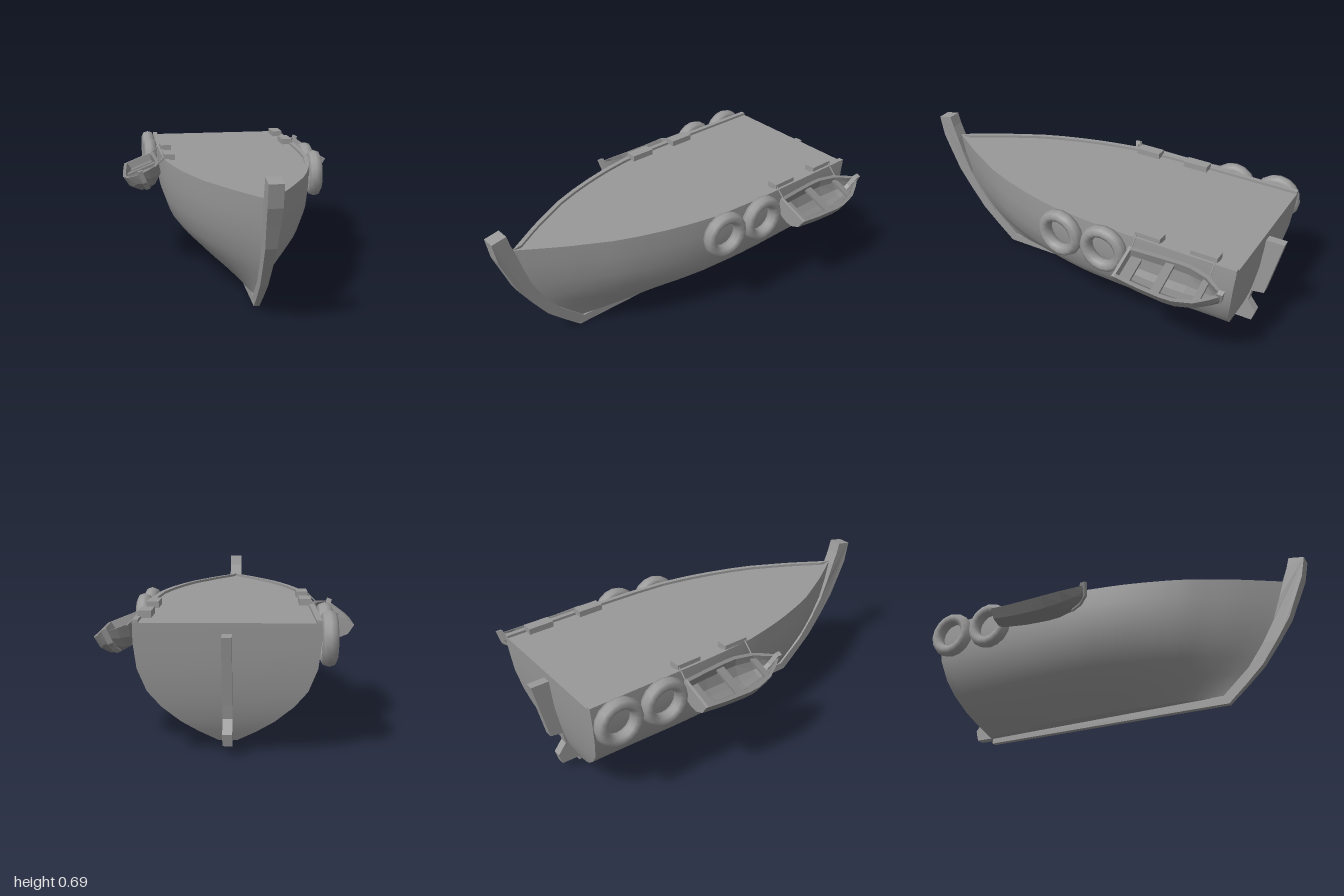
import * as THREE from 'three';

const makeMaterial = (color, flatShading) => new THREE.MeshStandardMaterial({ color, flatShading, side: THREE.DoubleSide });
const mat = makeMaterial(0x999999, false);
const flatMat = makeMaterial(0x999999, true);
const shellMat = makeMaterial(0x858585, true);

function add(parent, name, geometry, material = mat) {
  const mesh = new THREE.Mesh(geometry, material);
  mesh.name = name;
  parent.add(mesh);
  return mesh;
}

// Piecewise linear lookup in [[key, value], ...]
function lookup(table, k) {
  for (let i = 1; i < table.length; i++) {
    const [k0, v0] = table[i - 1], [k1, v1] = table[i];
    if (k <= k1) return v0 + (v1 - v0) * Math.max(0, (k - k0) / (k1 - k0));
  }
  return table[table.length - 1][1];
}

// Skin over rows of [x, y, z] points
function loft(rows) {
  const n = rows[0].length, index = [];
  for (let i = 0; i < rows.length - 1; i++)
    for (let j = 0; j < n - 1; j++) {
      const a = i * n + j, b = a + n;
      index.push(a, b, a + 1, b, b + 1, a + 1);
    }
  const g = new THREE.BufferGeometry();
  g.setAttribute('position', new THREE.Float32BufferAttribute(rows.flat(2), 3));
  g.setIndex(index);
  g.computeVertexNormals();
  return g;
}

// Side profile of [z, y] points, thickened along x by halfWidth(y)
function slab(points, halfWidth) {
  const shape = new THREE.Shape(points.map(([z, y]) => new THREE.Vector2(-z, y)));
  const g = new THREE.ExtrudeGeometry(shape, { depth: 2, bevelEnabled: false });
  g.translate(0, 0, -1).rotateY(Math.PI / 2);
  const p = g.attributes.position;
  for (let i = 0; i < p.count; i++) p.setX(i, p.getX(i) * halfWidth(p.getY(i)));
  g.computeVertexNormals();
  return g;
}

// Hull lines: [height, half breadth amidships, half breadth at stern, stern z, bow z]
const LEVELS = [
  [0.042, 0.08, 0.04, -0.795, 0.555],
  [0.09, 0.15, 0.125, -0.82, 0.61],
  [0.14, 0.217, 0.2, -0.843, 0.665],
  [0.21, 0.292, 0.28, -0.865, 0.73],
  [0.28, 0.345, 0.337, -0.88, 0.78],
  [0.38, 0.38, 0.375, -0.898, 0.835],
  [0.49, 0.39, 0.388, -0.908, 0.87],
  [0.588, 0.388, 0.388, -0.915, 0.89],
];
const PLAN = [[0, 1], [0.3, 1], [0.4, 0.99], [0.5, 0.96], [0.58, 0.89], [0.65, 0.805],
  [0.72, 0.7], [0.78, 0.59], [0.89, 0.32], [1, 0]];
const STATIONS = Array.from({ length: 33 }, (_, i) => i / 32);
const DECK_Y = 0.575;

function hullPoint(level, u, side) {
  const [y, mid, stern, z0, z1] = level;
  const w = THREE.MathUtils.lerp(stern, mid, THREE.MathUtils.smoothstep(u, 0, 0.4));
  return [side * w * lookup(PLAN, u), y, THREE.MathUtils.lerp(z0, z1, u)];
}

function buildHull(root) {
  const hull = new THREE.Group();
  hull.name = 'hull';
  root.add(hull);
  const top = LEVELS[LEVELS.length - 1];
  const inner = (u, s, y) => {
    const [x, , z] = hullPoint(top, u, s);
    return [s * Math.max(0, Math.abs(x) - 0.024), y, z];
  };
  for (const s of [-1, 1]) {
    add(hull, 'hullSide', loft(STATIONS.map(u => LEVELS.map(l => hullPoint(l, u, s)))));
    add(hull, 'rail', loft(STATIONS.map(u => [hullPoint(top, u, s), inner(u, s, 0.588), inner(u, s, 0.57)])), flatMat);
    // Small plate closing the stern end of the rail
    add(hull, 'railEnd', loft([0.588, DECK_Y].map(y => [inner(0, s, y), [s * 0.388, y, -0.915]])), flatMat);
  }
  add(hull, 'hullBottom', loft(STATIONS.map(u => [-1, 1].map(s => hullPoint(LEVELS[0], u, s)))));
  add(hull, 'transom', loft(LEVELS.map(l => [-1, 0, 1].map(s => {
    const [x, y, z] = hullPoint(l, 0, s);
    return [x, Math.min(y, DECK_Y), z];
  }))));
  add(hull, 'deck', loft(STATIONS.map(u => [-1, 1].map(s => inner(u, s, DECK_Y)))));
}

function buildBackbone(root) {
  // Keel, stem post and stern post with its heel
  add(root, 'keel', slab([[0.57, 0], [-0.795, 0.015], [-0.795, 0.046], [0.54, 0.044]], () => 0.014), flatMat);
  const stemWidth = [[0, 0.013], [0.1, 0.016], [0.4, 0.026], [0.55, 0.033], [0.7, 0.033]];
  add(root, 'stemPost', slab([
    [0.57, 0], [0.66, 0.08], [0.75, 0.165], [0.83, 0.275], [0.9, 0.38], [0.945, 0.49], [0.98, 0.575], [1, 0.68],
    [0.925, 0.695], [0.91, 0.64], [0.885, 0.575], [0.86, 0.49], [0.82, 0.38], [0.76, 0.275], [0.68, 0.165], [0.54, 0.04],
  ], y => lookup(stemWidth, y)), flatMat);
  add(root, 'sternPost', slab([
    [-0.9, 0.53], [-1, 0.53], [-0.935, 0.23], [-0.874, 0.22], [-0.862, 0.155], [-0.905, 0.1], [-0.89, 0.045],
    [-0.78, 0.042], [-0.84, 0.155], [-0.86, 0.23],
  ], () => 0.021), flatMat);
}

// Small rowing boat, bow towards +z, gunwale near y = 0
function buildDinghy() {
  const boat = new THREE.Group();
  boat.name = 'dinghy';
  const width = [[0, 0.086], [0.25, 0.096], [0.5, 0.102], [0.62, 0.1], [0.8, 0.078], [0.92, 0.042], [1, 0.012]];
  const sheer = u => 0.01 * (1 - u) ** 3 + 0.02 * u ** 4;
  const depth = u => 1 - 0.15 * (1 - u) ** 3 - 0.45 * u ** 6;
  const section = [[1, 0], [0.88, -0.06], [0.45, -0.1], [0, -0.106]];
  const ring = (u, inset) => {
    const w = Math.max(0.002, lookup(width, u) - inset);
    const half = section.map(([x, y]) => [x * w, y * depth(u) + sheer(u) + (y < 0 ? inset : 0), -0.25 + 0.485 * u]);
    return [...half, ...half.slice(0, -1).reverse().map(([x, y, z]) => [-x, y, z])];
  };
  add(boat, 'dinghyShell', loft(width.map(([u]) => {
    const outer = ring(u, 0);
    return [...outer, ...ring(u, 0.018).reverse(), outer[0]];
  })), shellMat);
  const end = new THREE.Shape(ring(0, 0).map(([x, y]) => new THREE.Vector2(x, y)));
  add(boat, 'dinghyTransom', new THREE.ExtrudeGeometry(end, { depth: 0.014, bevelEnabled: false }), flatMat).position.z = -0.25;
  // Stem and seats
  add(boat, 'dinghyStem', slab([
    [0.15, -0.088], [0.2, -0.068], [0.238, -0.03], [0.25, 0.036], [0.225, 0.036], [0.2, -0.02],
  ], () => 0.012), flatMat);
  for (const [y, z, w, d] of [[-0.035, -0.21, 0.14, 0.06], [-0.015, -0.043, 0.17, 0.042], [-0.015, 0.14, 0.12, 0.03]])
    add(boat, 'dinghySeat', new THREE.BoxGeometry(w, 0.012, d), shellMat).position.set(0, y, z);
  return boat;
}

function rope(parent, from, to) {
  const line = new THREE.LineCurve3(new THREE.Vector3(...from), new THREE.Vector3(...to));
  add(parent, 'rope', new THREE.TubeGeometry(line, 1, 0.004, 5));
}

export function createModel() {
  const root = new THREE.Group();
  root.name = 'boat';
  buildHull(root);
  buildBackbone(root);

  // Tyre fenders: [x, z, turn]
  for (const [x, z, turn] of [[0.418, -0.275, 0], [0.41, -0.035, -0.08], [-0.425, -0.8, 0], [-0.425, -0.562, 0]]) {
    const tyre = add(root, 'tyreFender', new THREE.TorusGeometry(0.092, 0.029, 8, 16));
    tyre.scale.z = 1.2;
    tyre.rotation.y = Math.PI / 2 + turn;
    tyre.position.set(x, 0.492, z);
  }

  // Slung dinghies with their rail blocks and ropes
  for (const { side, z, blocks } of [
    { side: 1, z: -0.66, blocks: [-0.755, -0.478] },
    { side: -1, z: -0.195, blocks: [-0.385, -0.112] },
  ]) {
    const sling = new THREE.Group();
    sling.name = 'slungDinghy';
    sling.position.set(side * 0.492, 0.513, z);
    sling.rotation.z = -side * 0.38;
    const dinghy = buildDinghy();
    if (side > 0) dinghy.rotation.y = Math.PI;
    sling.add(dinghy);
    root.add(sling);
    for (const bz of blocks) {
      add(root, 'railBlock', new THREE.BoxGeometry(0.056, 0.03, 0.128), flatMat).position.set(side * 0.348, 0.595, bz);
      const rz = bz + Math.sign(bz - z) * 0.055;
      rope(root, [side * 0.37, 0.6, rz], [side * 0.425, 0.545, rz]);
    }
  }
  return root;
}
